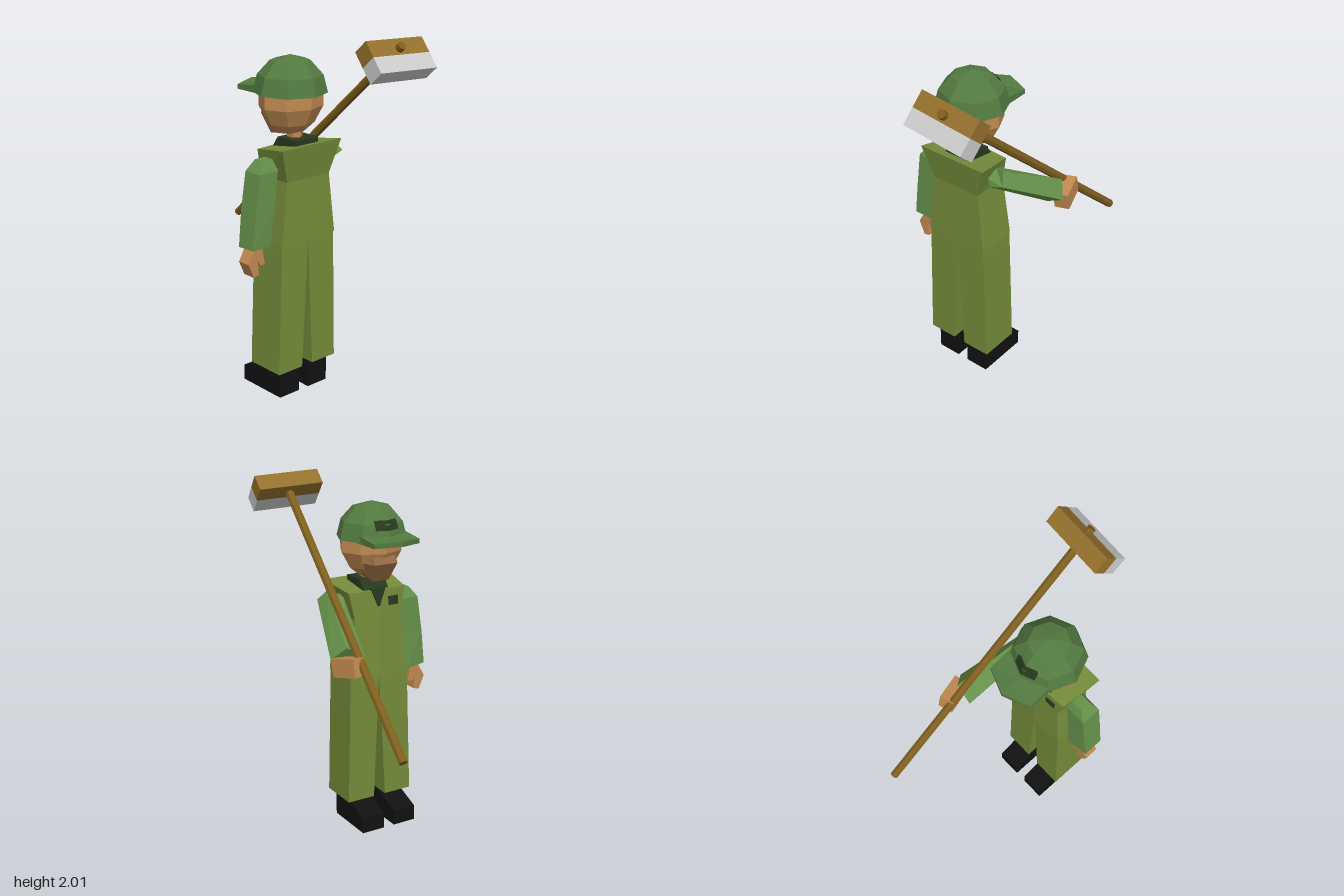
import * as THREE from 'three';

const mat = (color) => new THREE.MeshStandardMaterial({ color, flatShading: true });
const M = {
  olive: mat(0x748c3a), green: mat(0x66914a), cap: mat(0x537a40), dark: mat(0x28391f),
  skin: mat(0xc08a50), jaw: mat(0x936840), black: mat(0x111111), wood: mat(0x94702c),
  handle: mat(0x80601f), metal: mat(0xcccccc),
};

function mesh(name, geometry, material) {
  const m = new THREE.Mesh(geometry, material);
  m.name = name;
  return m;
}

// Closed skin through rings with equal point counts, wound outward by its volume
function loft(rings) {
  const tris = [], n = rings[0].length;
  const V = (p) => new THREE.Vector3(...p);
  const R = rings.map((r) => r.map(V));
  for (let i = 0; i < R.length - 1; i++) {
    for (let j = 0; j < n; j++) {
      const k = (j + 1) % n;
      tris.push([R[i][j], R[i][k], R[i + 1][k]], [R[i][j], R[i + 1][k], R[i + 1][j]]);
    }
  }
  const mid = (r) => r.reduce((s, p) => s.add(p), V([0, 0, 0])).divideScalar(n);
  const first = R[0], last = R[R.length - 1], a = mid(first), b = mid(last);
  for (let j = 0; j < n; j++) {
    const k = (j + 1) % n;
    tris.push([a, first[k], first[j]], [b, last[j], last[k]]);
  }
  let volume = 0;
  for (const [p, q, r] of tris) {
    volume += p.clone().sub(a).dot(q.clone().sub(a).cross(r.clone().sub(a)));
  }
  const points = tris.flatMap(([p, q, r]) => (volume < 0 ? [p, r, q] : [p, q, r]));
  const g = new THREE.BufferGeometry().setFromPoints(points);
  g.computeVertexNormals();
  return g;
}

const rect = (y, x0, x1, z0, z1) => [[x0, y, z0], [x1, y, z0], [x1, y, z1], [x0, y, z1]];
const CX = -0.053;

function legs(g) {
  for (const s of [-1, 1]) {
    const side = s > 0 ? 'left' : 'right';
    g.add(mesh(side + 'Trouser', loft([
      rect(0.16, CX + s * 0.038, CX + s * 0.208, 0.055, 0.29),
      rect(0.87, CX + s * 0.002, CX + s * 0.188, 0.06, 0.29),
      rect(0.915, CX, CX + s * 0.186, 0.06, 0.29),
    ]), M.olive));
    // Shoe: side profile carried across the width
    const profile = [[0, 0.26], [0, -0.05], [0.09, -0.05], [0.16, 0.14], [0.16, 0.26]];
    g.add(mesh(side + 'Shoe', loft([0.035, 0.175].map((w) =>
      profile.map(([y, z]) => [CX + s * w, y, z]))), M.black));
  }
}

function torso(g) {
  // Jacket: narrow waist, flared shoulders, slight ridge down the chest
  const ring = (w, wf, yb, yf, zb, zf) => [
    [CX - w, yb, zb], [CX + w, yb, zb], [CX + wf, yf, zf], [CX, yf, zf - 0.012], [CX - wf, yf, zf],
  ];
  g.add(mesh('jacket', loft([
    ring(0.19, 0.19, 0.91, 0.91, 0.295, 0.06),
    ring(0.15, 0.15, 1.25, 1.25, 0.288, 0.075),
    ring(0.21, 0.18, 1.437, 1.4, 0.318, 0.085),
  ]), M.olive));
  g.add(mesh('collar', loft([
    rect(1.4, -0.13, 0.03, 0.09, 0.27), rect(1.458, -0.13, 0.03, 0.13, 0.27),
  ]), M.dark));
  // Neck opening on the chest
  g.add(mesh('neckOpening', loft([
    rect(1.31, CX - 0.006, CX + 0.006, 0.062, 0.1), rect(1.41, CX - 0.045, CX + 0.045, 0.068, 0.12),
  ]), M.dark));
  const pocket = mesh('chestPocket', new THREE.BoxGeometry(0.06, 0.05, 0.012), M.dark);
  pocket.position.set(-0.15, 1.33, 0.074);
  g.add(pocket);
}

function arms(g) {
  // Hanging arm
  g.add(mesh('rightSleeve', loft([
    rect(1.37, -0.305, -0.225, 0.15, 0.215),
    rect(1.31, -0.35, -0.225, 0.125, 0.24),
    rect(1.1, -0.378, -0.25, 0.12, 0.24),
    [[-0.4, 0.9, 0.125], [-0.275, 0.89, 0.11], [-0.275, 0.9, 0.235], [-0.4, 0.905, 0.24]],
  ]), M.green));
  // Relaxed hand with the thumb apart
  const outline = [[-0.36, 0.9], [-0.405, 0.82], [-0.37, 0.74], [-0.333, 0.75],
    [-0.343, 0.83], [-0.325, 0.8], [-0.292, 0.8], [-0.31, 0.9]];
  const shape = new THREE.Shape(outline.map(([x, y]) => new THREE.Vector2(x, y)));
  const hand = mesh('rightHand', new THREE.ExtrudeGeometry(shape, { depth: 0.08, bevelEnabled: false }), M.skin);
  hand.position.z = 0.13;
  g.add(hand);

  // Raised arm reaching forward to the handle
  g.add(mesh('leftSleeve', loft([
    [[0.09, 1.35, 0.15], [0.13, 1.38, 0.17], [0.13, 1.35, 0.24], [0.09, 1.32, 0.22]],
    [[0.13, 1.37, 0.14], [0.2, 1.405, 0.2], [0.235, 1.345, 0.25], [0.145, 1.31, 0.25]],
    [[0.195, 1.13, -0.2], [0.3, 1.195, -0.19], [0.36, 1.12, -0.12], [0.25, 1.06, -0.13]],
  ]), M.green));
  const grip = mesh('leftHand', new THREE.BoxGeometry(0.085, 0.1, 0.16), M.skin);
  grip.position.set(0.308, 1.1, -0.22);
  grip.rotation.set(0.2, 0.3, 0);
  g.add(grip);
}

function head(g) {
  const lathe = (pts) => new THREE.LatheGeometry(pts.map(([r, y]) => new THREE.Vector2(r, y)), 8);
  const neck = mesh('neck', new THREE.CylinderGeometry(0.045, 0.04, 0.12, 6), M.skin);
  neck.position.set(CX, 1.46, 0.18);
  const skull = mesh('head', lathe([[0, 1.475], [0.075, 1.48], [0.135, 1.53], [0.185, 1.62], [0.185, 1.7], [0, 1.7]]), M.skin);
  skull.position.set(CX, 0, 0.15);
  skull.scale.z = 0.85;
  g.add(neck, skull);
  // Jutting jaw
  g.add(mesh('jaw', loft([
    [[CX - 0.05, 1.46, 0.045], [CX + 0.05, 1.46, 0.045], [CX + 0.06, 1.48, 0.17], [CX - 0.06, 1.48, 0.17]],
    [[CX - 0.07, 1.565, -0.015], [CX + 0.07, 1.565, -0.015], [CX + 0.145, 1.575, 0.13], [CX - 0.145, 1.575, 0.13]],
    [[CX - 0.07, 1.6, 0.01], [CX + 0.07, 1.6, 0.01], [CX + 0.12, 1.6, 0.13], [CX - 0.12, 1.6, 0.13]],
  ]), M.jaw));

  // Cap dome, brim and plain front patch
  const dome = mesh('capDome', lathe([[0, 1.69], [0.2, 1.69], [0.175, 1.785], [0.107, 1.86], [0, 1.89]]), M.cap);
  dome.position.set(CX, 0, 0.142);
  g.add(dome);
  const brim = (ys, yt) => [[CX - 0.145, ys, 0.06], [CX + 0.145, ys, 0.06], [CX + 0.142, ys, -0.12],
    [CX, yt, -0.178], [CX - 0.142, ys, -0.12]];
  const lower = brim(1.685, 1.692), upper = brim(1.71, 1.72);
  upper[0][1] = upper[1][1] = 1.73;
  g.add(mesh('capBrim', loft([lower, upper]), M.cap));
  const chevron = (y, z) => [[CX - 0.07, y, z + 0.026], [CX, y, z], [CX + 0.07, y, z + 0.026], [CX, y, z + 0.04]];
  g.add(mesh('capPatch', loft([chevron(1.755, -0.047), chevron(1.805, -0.022)]), M.dark));
}

// Sledgehammer, built along its own y axis then laid over the shoulder
function hammer() {
  const h = new THREE.Group();
  h.name = 'hammer';
  h.add(mesh('hammerHandle', new THREE.CylinderGeometry(0.024, 0.024, 1.87, 8), M.handle));
  const block = (name, z0, z1, material) => {
    const b = mesh(name, new THREE.BoxGeometry(0.38, 0.1, z1 - z0), material);
    b.position.set(0, 0.856, (z0 + z1) / 2);
    h.add(b);
  };
  block('hammerWoodHalf', -0.06, 0.035, M.wood);
  block('hammerMetalHalf', 0.035, 0.13, M.metal);
  const y = new THREE.Vector3(-0.07, 1.236, 1.4).normalize();
  const z = new THREE.Vector3(1, -0.035, 0.08).cross(y).normalize();
  const x = y.clone().cross(z);
  h.quaternion.setFromRotationMatrix(new THREE.Matrix4().makeBasis(x, y, z));
  h.position.set(0.25, 1.355, -0.02);
  return h;
}

export function createModel() {
  const g = new THREE.Group();
  g.name = 'worker';
  legs(g);
  torso(g);
  arms(g);
  head(g);
  g.add(hammer());
  return g;
}
